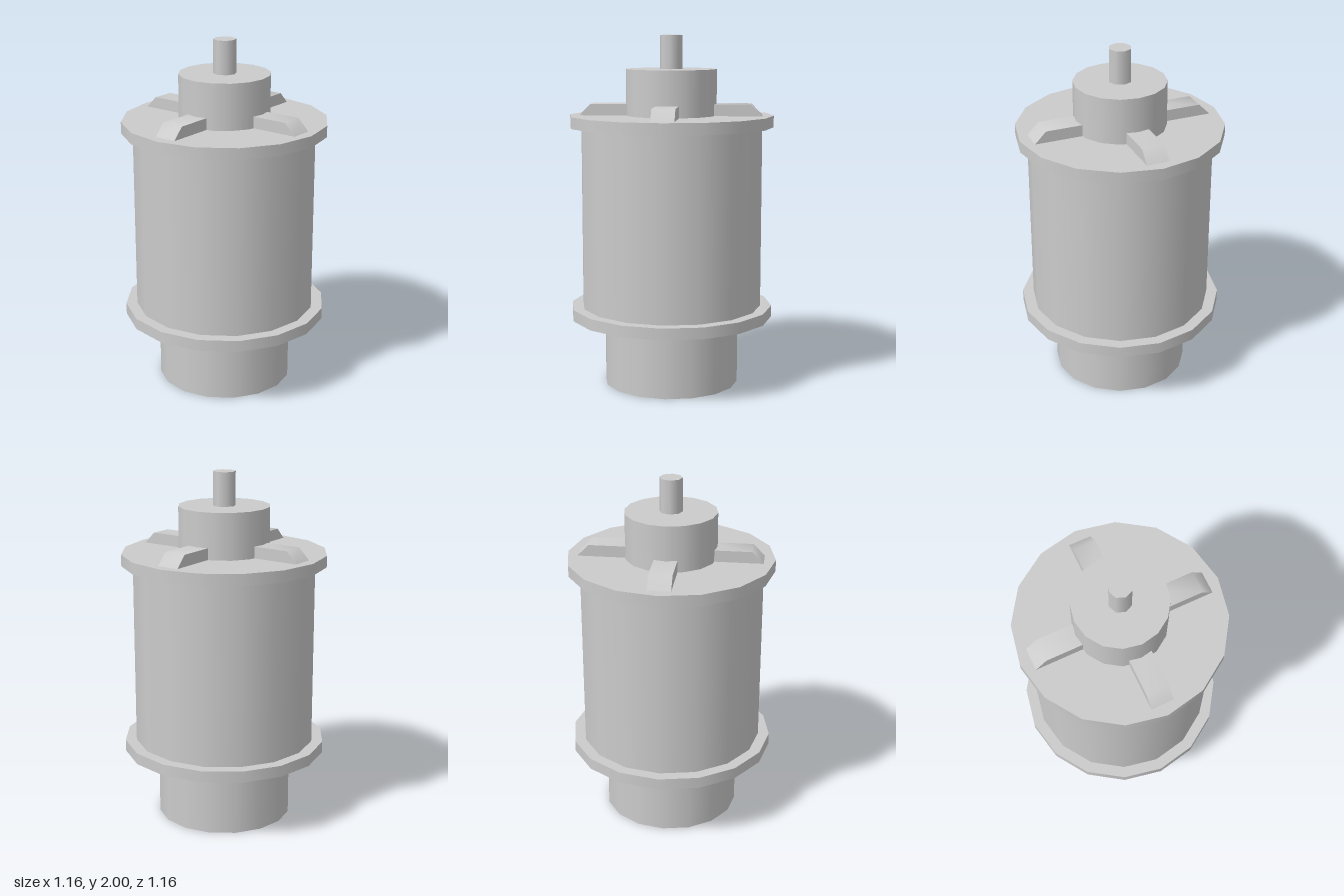
import * as THREE from 'three';
import { toCreasedNormals } from 'three/addons/utils/BufferGeometryUtils.js';

export function createModel() {
  const group = new THREE.Group();
  const material = new THREE.MeshStandardMaterial({ color: 0xcccccc });

  // Upright drum between two heights
  function drum(name, radius, y0, y1, sides = 16) {
    const geometry = new THREE.CylinderGeometry(radius, radius, y1 - y0, sides);
    const mesh = new THREE.Mesh(geometry, material);
    mesh.name = name;
    mesh.position.y = (y0 + y1) / 2;
    group.add(mesh);
  }

  // Stacked round parts, bottom to top
  drum('base', 0.385, 0, 0.39);
  drum('lowerFlange', 0.58, 0.39, 0.455);
  drum('body', 0.516, 0.455, 1.485);
  drum('upperFlange', 0.58, 1.485, 1.55);
  drum('hub', 0.258, 1.55, 1.81);
  drum('shaft', 0.064, 1.81, 2, 8);

  // Four ribs with sloped outer ends, softly shaded across the bend
  const profile = new THREE.Shape([
    new THREE.Vector2(0.2, 1.55),
    new THREE.Vector2(0.516, 1.55),
    new THREE.Vector2(0.452, 1.615),
    new THREE.Vector2(0.2, 1.615),
  ]);
  const width = 0.128;
  const extruded = new THREE.ExtrudeGeometry(profile, { depth: width, bevelEnabled: false });
  extruded.translate(0, 0, -width / 2);
  const ribGeometry = toCreasedNormals(extruded, Math.PI / 3);
  for (let i = 0; i < 4; i++) {
    const rib = new THREE.Mesh(ribGeometry, material);
    rib.name = `rib${i + 1}`;
    rib.rotation.y = (i * Math.PI) / 2;
    group.add(rib);
  }

  return group;
}
